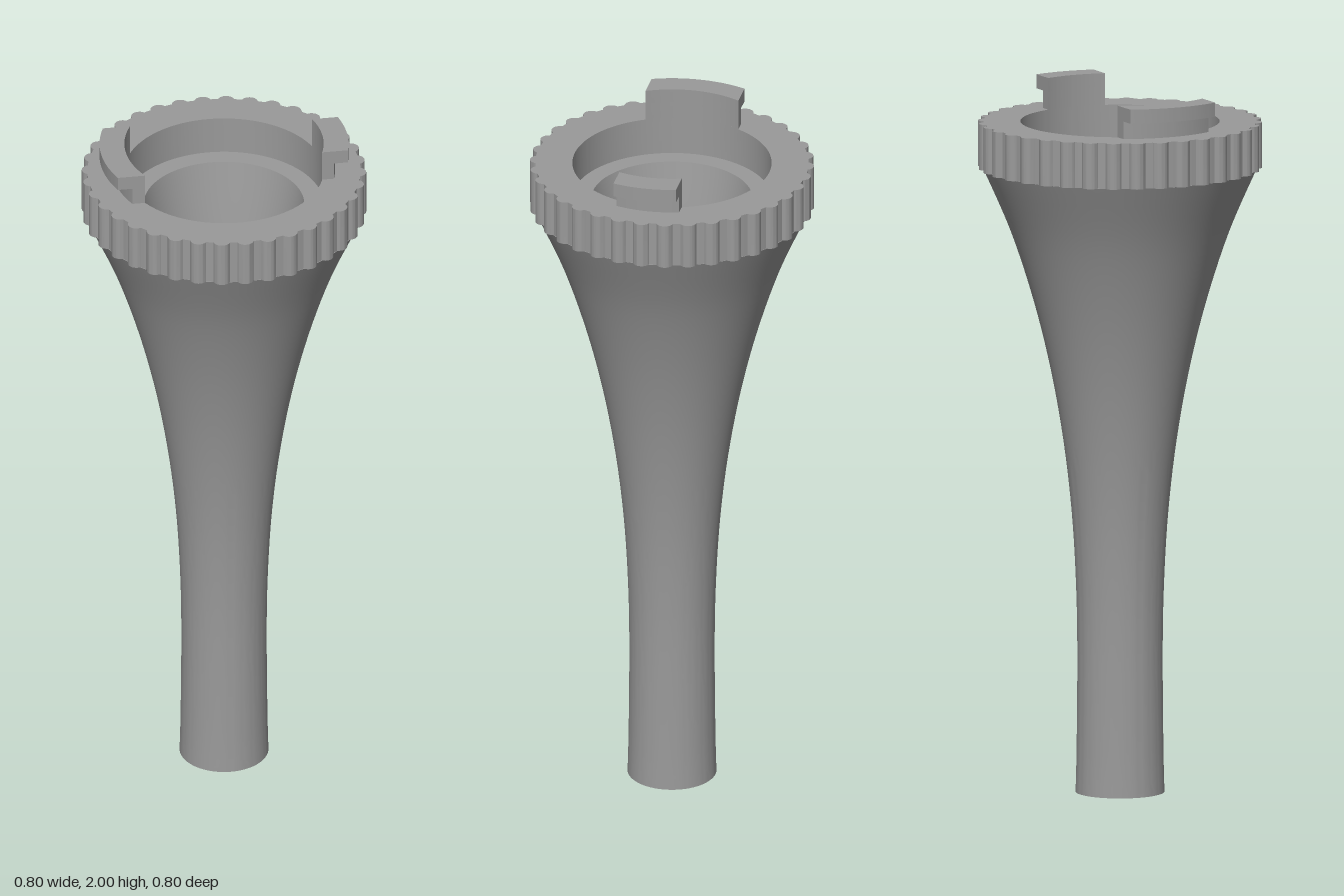
import * as THREE from 'three';
import { toCreasedNormals } from 'three/addons/utils/BufferGeometryUtils.js';

const material = new THREE.MeshStandardMaterial({ color: 0x9a9a9a });
const V = (r, y) => new THREE.Vector2(r, y);

function addMesh(parent, name, geometry) {
  const mesh = new THREE.Mesh(toCreasedNormals(geometry, 0.5), material);
  mesh.name = name;
  parent.add(mesh);
}

// Extrudes a plan shape upward from y0 to y1
function slab(shape, y0, y1, curveSegments) {
  const g = new THREE.ExtrudeGeometry(shape, { depth: y1 - y0, bevelEnabled: false, curveSegments });
  return g.rotateX(-Math.PI / 2).translate(0, y0, 0);
}

// Arc-shaped plan with parallel sides, on the +x side
function lugShape(inner, outer, halfWidth) {
  const a = Math.asin(halfWidth / outer), b = Math.asin(halfWidth / inner);
  const s = new THREE.Shape();
  s.absarc(0, 0, outer, -a, a, false);
  s.absarc(0, 0, inner, b, -b, true);
  s.closePath();
  return s;
}

export function createModel() {
  const model = new THREE.Group();
  model.name = 'flaredTube';

  // Hollow flared body: outer wall up, ledge in, bore back down
  const outer = new THREE.SplineCurve([
    V(0.125, 0), V(0.122, 0.13), V(0.12, 0.4), V(0.124, 0.6), V(0.136, 0.8), V(0.159, 1.0),
    V(0.194, 1.2), V(0.243, 1.4), V(0.308, 1.6), V(0.386, 1.78),
  ]).getPoints(45);
  const bore = new THREE.SplineCurve([
    V(0.226, 1.8), V(0.186, 1.6), V(0.153, 1.4), V(0.128, 1.2), V(0.11, 1.0), V(0.098, 0.8),
    V(0.092, 0.6), V(0.09, 0.4), V(0.092, 0),
  ]).getPoints(40);
  const profile = [V(0.092, 0), ...outer, V(0.28, 1.78), V(0.28, 1.8), ...bore];
  addMesh(model, 'flaredBody', new THREE.LatheGeometry(profile, 96));

  // Collar with 36 rounded grip ribs and a round recess
  const ribs = 36, baseR = 0.384, ribC = 0.376, ribR = 0.024;
  const half = Math.acos((baseR ** 2 + ribC ** 2 - ribR ** 2) / (2 * baseR * ribC));
  const spread = Math.atan2(baseR * Math.sin(half), baseR * Math.cos(half) - ribC);
  const collar = new THREE.Shape();
  for (let i = 0; i < ribs; i++) {
    const t = (i / ribs) * Math.PI * 2;
    collar.absarc(ribC * Math.cos(t), ribC * Math.sin(t), ribR, t - spread, t + spread, false);
    collar.absarc(0, 0, baseR, t + half, t + (Math.PI * 2) / ribs - half, false);
  }
  const recess = new THREE.Path();
  recess.absarc(0, 0, 0.28, 0, Math.PI * 2, true);
  // Dense polygon for the recess, lighter sampling for the ribs
  const collarPlan = new THREE.Shape(collar.getPoints(8));
  collarPlan.holes.push(new THREE.Path(recess.getPoints(96)));
  addMesh(model, 'ribbedCollar', slab(collarPlan, 1.78, 1.91, 1));

  // Two hooked locking lugs, the right one wider
  for (const [name, halfWidth, turn] of [['leftLug', 0.09, 0], ['rightLug', 0.134, Math.PI]]) {
    const lug = new THREE.Group();
    lug.name = name;
    addMesh(lug, 'lugStem', slab(lugShape(0.28, 0.312, halfWidth), 1.9, 1.96, 16));
    addMesh(lug, 'lugFlange', slab(lugShape(0.28, 0.35, halfWidth), 1.96, 2, 16));
    lug.rotation.y = turn;
    model.add(lug);
  }
  return model;
}
